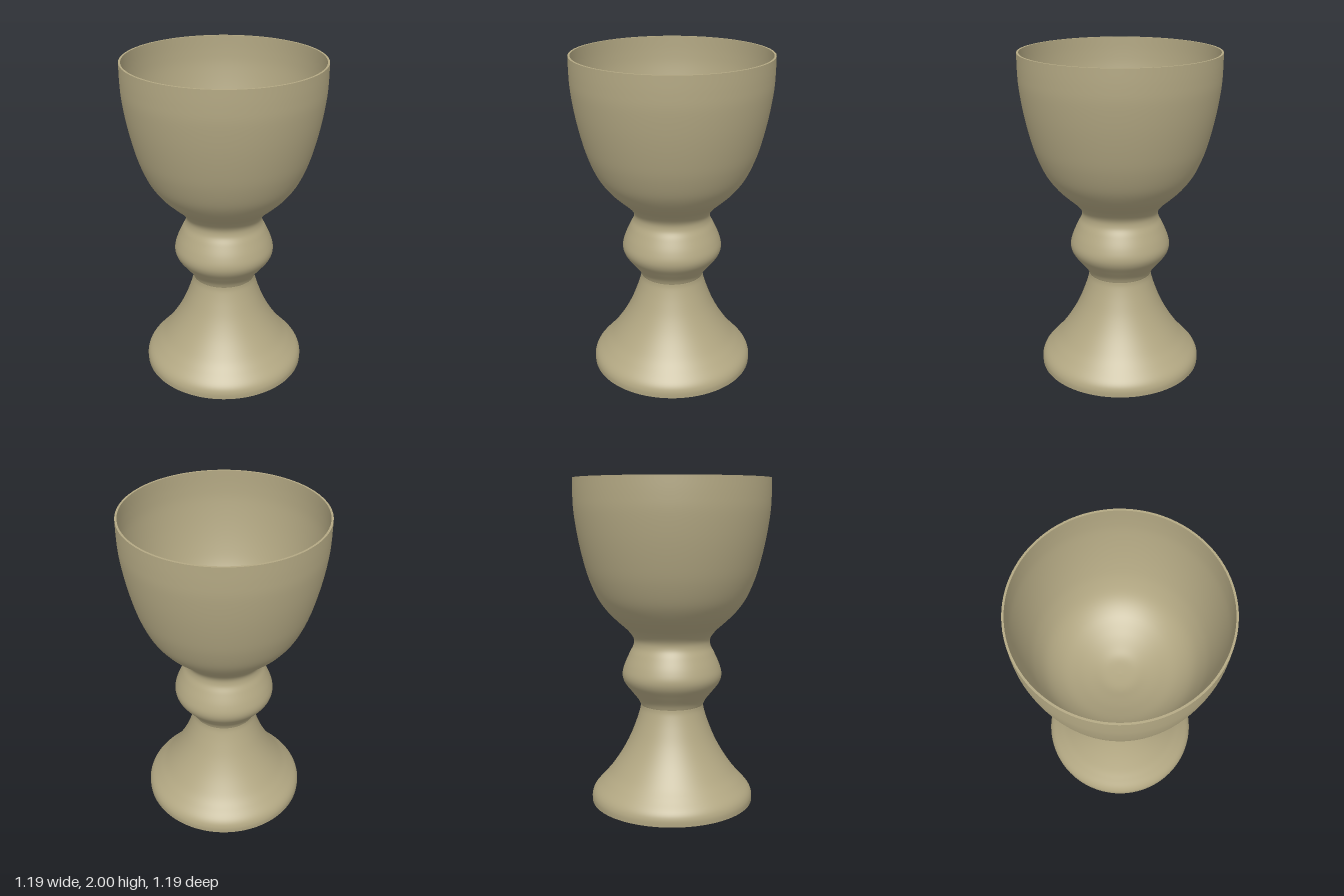
import * as THREE from 'three';

const stone = new THREE.MeshStandardMaterial({ color: 0xb3a883 });
stone.name = 'tan stone';

// Smooth surface of revolution through a few [radius, height] points
function turned(name, points, samples) {
  const curve = new THREE.SplineCurve(points.map(([r, y]) => new THREE.Vector2(r, y)));
  const profile = curve.getPoints(samples);
  profile.forEach((p) => { p.x = Math.max(p.x, 0); });
  const mesh = new THREE.Mesh(new THREE.LatheGeometry(profile, 96), stone);
  mesh.name = name;
  return mesh;
}

export function createModel() {
  const goblet = new THREE.Group();
  goblet.name = 'goblet';

  // Flat underside
  const underside = new THREE.Mesh(new THREE.CircleGeometry(0.505, 96), stone);
  underside.name = 'underside';
  underside.rotation.x = Math.PI / 2;
  goblet.add(underside);

  // Flared foot with a rounded lower edge
  goblet.add(turned('foot', [
    [0.505, 0], [0.505, 0.04], [0.488, 0.08], [0.44, 0.135], [0.385, 0.2],
    [0.318, 0.3], [0.265, 0.4], [0.225, 0.5], [0.2, 0.58], [0.195, 0.615],
  ], 48));

  // Knop, waist and outer bowl
  goblet.add(turned('knopAndBowl', [
    [0.195, 0.615], [0.212, 0.65], [0.255, 0.705], [0.296, 0.76], [0.308, 0.81],
    [0.293, 0.87], [0.262, 0.94], [0.238, 0.99], [0.239, 1.035], [0.275, 1.085],
    [0.335, 1.14], [0.395, 1.2], [0.455, 1.285], [0.505, 1.4], [0.54, 1.52],
    [0.57, 1.66], [0.59, 1.8], [0.595, 1.9], [0.595, 2],
  ], 100));

  // Thin rim
  goblet.add(turned('rim', [[0.595, 2], [0.583, 2]], 1));

  // Hollow inside of the bowl, from rim to floor
  goblet.add(turned('bowlInside', [
    [0.583, 2], [0.583, 1.9], [0.577, 1.8], [0.556, 1.66], [0.525, 1.52],
    [0.487, 1.4], [0.43, 1.29], [0.35, 1.21], [0.25, 1.155], [0.16, 1.12],
    [0.09, 1.1], [0, 1.095],
  ], 60));

  return goblet;
}
